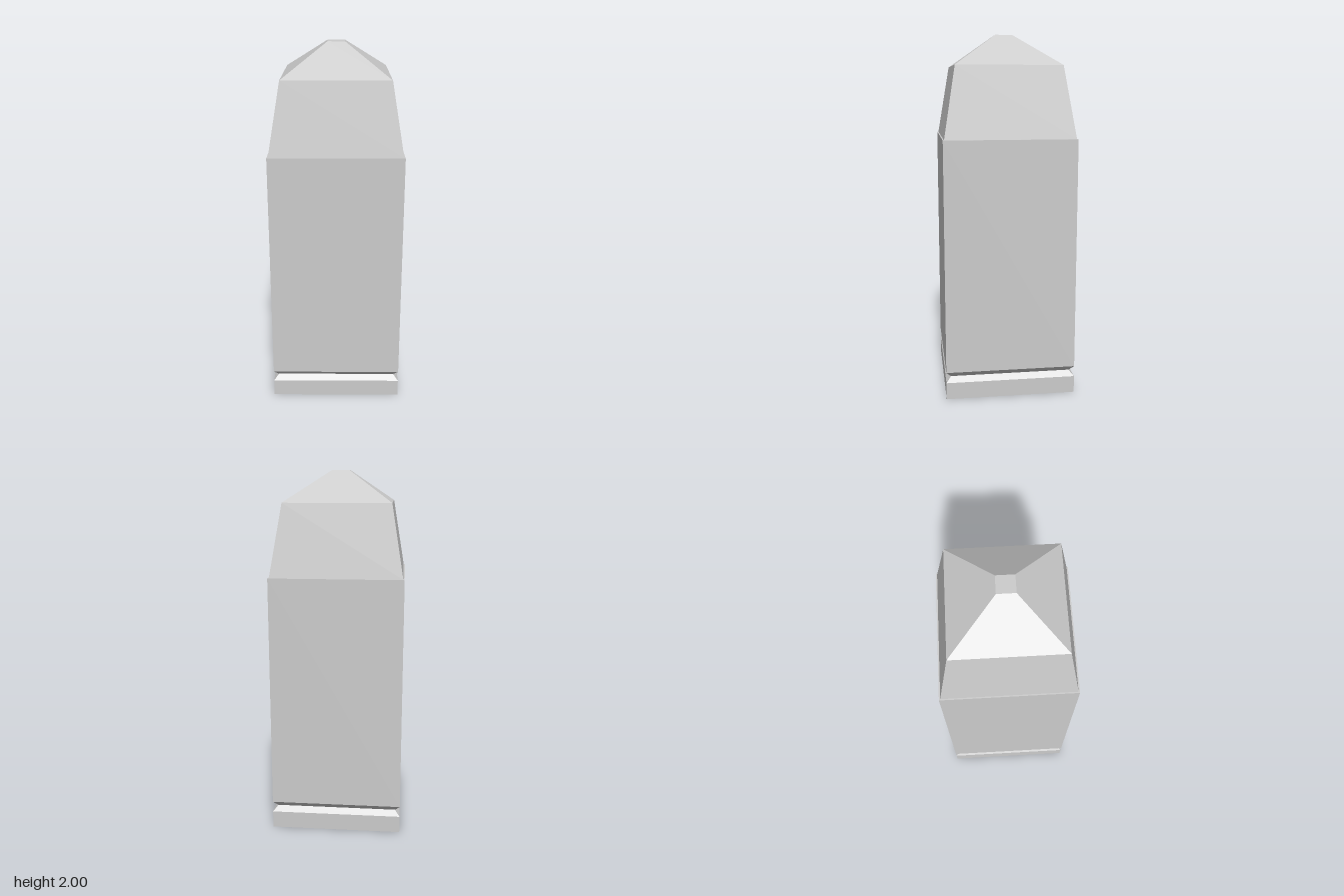
import * as THREE from 'three';

const material = new THREE.MeshStandardMaterial({ color: 0xcccccc, flatShading: true });

// Square-section solid from [half width, height] pairs, listed bottom to top
function squareTurned(name, profile) {
  const points = profile.map(([half, y]) => new THREE.Vector2(half * Math.SQRT2, y));
  const mesh = new THREE.Mesh(new THREE.LatheGeometry(points, 4, Math.PI / 4), material);
  mesh.name = name;
  return mesh;
}

export function createModel() {
  const group = new THREE.Group();
  group.name = 'squareCartridge';

  // Casing: base rim, V-shaped extractor groove, straight wall and mouth ledge
  group.add(squareTurned('casing', [
    [0, 0], [0.362, 0], [0.362, 0.095], [0.335, 0.124],
    [0.362, 0.155], [0.362, 1.44], [0.355, 1.44],
  ]));

  // Bullet: tapered sides, sloped nose and small flat tip
  group.add(squareTurned('bullet', [
    [0.355, 1.44], [0.29, 1.83], [0.047, 2], [0, 2],
  ]));

  return group;
}
